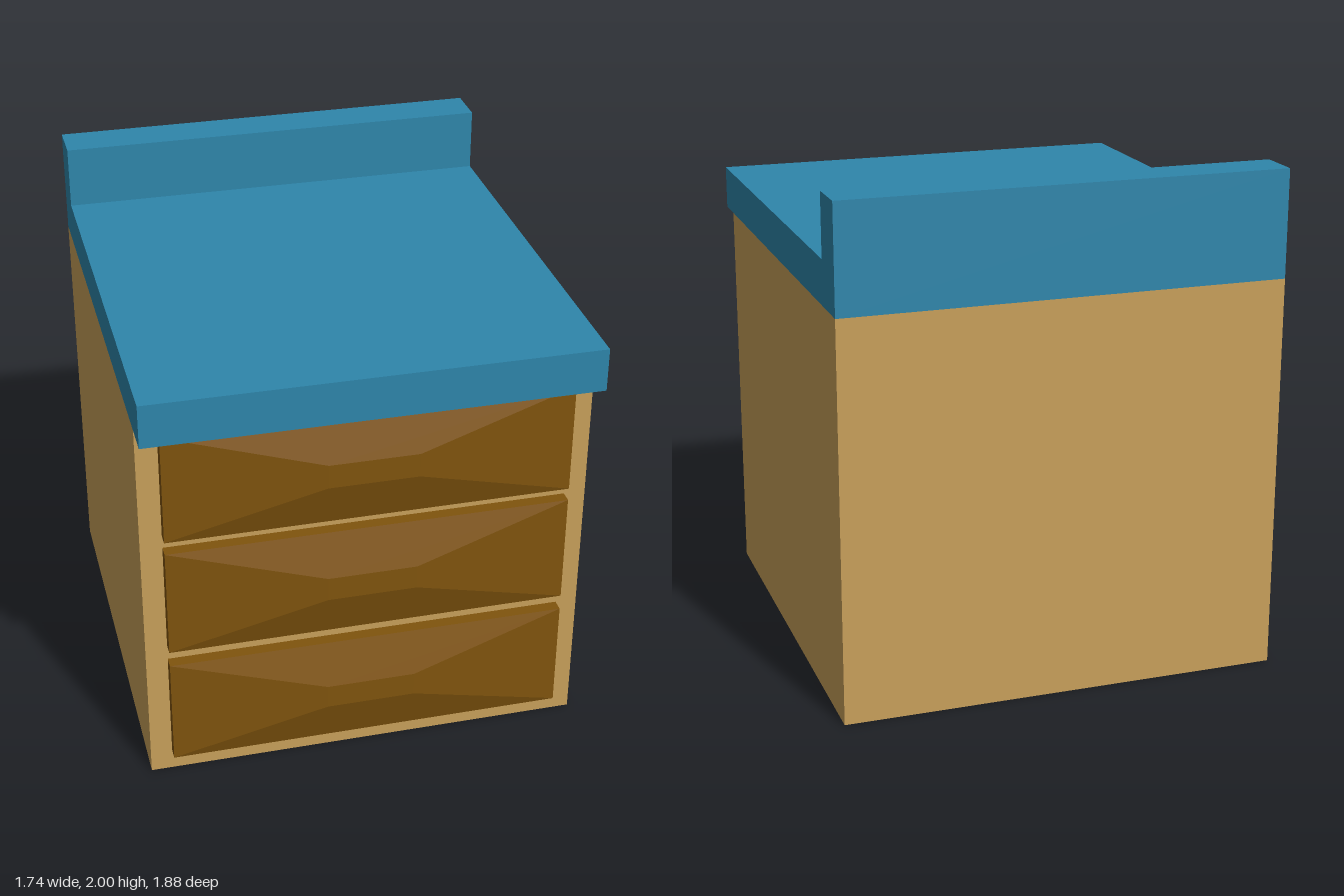
import * as THREE from 'three';

const wood = new THREE.MeshStandardMaterial({ color: 0xc8a05a });
wood.name = 'light wood';
const darkWood = new THREE.MeshStandardMaterial({ color: 0x80540d });
darkWood.name = 'dark wood';
const blue = new THREE.MeshStandardMaterial({ color: 0x2e86ab });
blue.name = 'blue worktop';

const WIDTH = 1.744, BACK = -0.94, BODY_FRONT = 0.81, BODY_TOP = 1.578;

function addMesh(parent, name, geometry, material) {
  const mesh = new THREE.Mesh(geometry, material);
  mesh.name = name;
  parent.add(mesh);
  return mesh;
}

// Drawer front: a plate whose outer half tapers to a small raised panel
function drawerGeometry() {
  const w = 1.574, h = 0.453, d = 0.097;
  const box = new THREE.BoxGeometry(w, h, d, 1, 1, 2);
  const p = box.attributes.position;
  for (let i = 0; i < p.count; i++) {
    if (p.getZ(i) > 0.01) {
      p.setX(i, Math.sign(p.getX(i)) * 0.175);
      p.setY(i, Math.sign(p.getY(i)) * 0.049);
    }
  }
  const geometry = box.toNonIndexed();
  geometry.computeVertexNormals();
  geometry.translate(0, 0, d / 2);
  return geometry;
}

export function createModel() {
  const group = new THREE.Group();
  group.name = 'drawerCabinet';

  // Cabinet body
  const depth = BODY_FRONT - BACK;
  const body = addMesh(group, 'cabinetBody', new THREE.BoxGeometry(WIDTH, BODY_TOP, depth), wood);
  body.position.set(0, BODY_TOP / 2, (BODY_FRONT + BACK) / 2);

  // Worktop with upstand: L profile (z, y) extruded across the width
  const profile = new THREE.Shape([
    [0.94, BODY_TOP], [0.94, 1.752], [-0.765, 1.752],
    [-0.765, 2], [BACK, 2], [BACK, BODY_TOP],
  ].map(([z, y]) => new THREE.Vector2(-z, y)));
  const top = new THREE.ExtrudeGeometry(profile, { depth: WIDTH, bevelEnabled: false });
  top.translate(0, 0, -WIDTH / 2);
  top.rotateY(Math.PI / 2);
  addMesh(group, 'worktop', top, blue);

  // Three drawers
  const drawer = drawerGeometry();
  ['bottomDrawer', 'middleDrawer', 'topDrawer'].forEach((name, i) => {
    const mesh = addMesh(group, name, drawer, darkWood);
    mesh.position.set(0, [0.314, 0.831, 1.336][i], BODY_FRONT);
  });

  return group;
}
